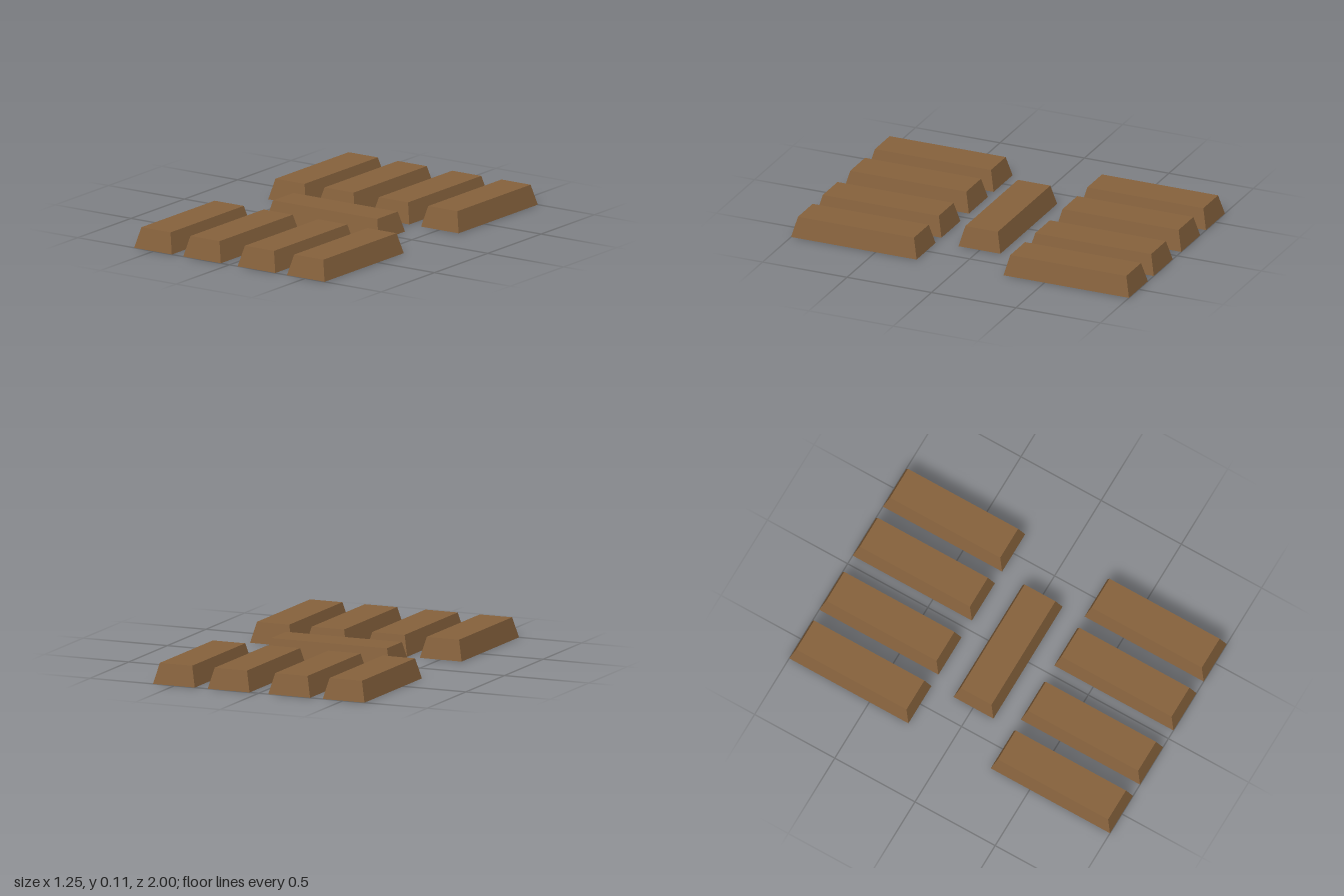
import * as THREE from 'three';

const LENGTH = 0.743, WIDTH = 0.248, HEIGHT = 0.113;
const INSET = 0.028; // how far the top edges step in from the base

// Bar with sloping sides: a box whose upper corners are pulled inward
function createIngotGeometry() {
  const box = new THREE.BoxGeometry(WIDTH, HEIGHT, LENGTH);
  box.translate(0, HEIGHT / 2, 0);
  const p = box.attributes.position;
  for (let i = 0; i < p.count; i++) {
    if (p.getY(i) > HEIGHT / 2) {
      p.setX(i, p.getX(i) - Math.sign(p.getX(i)) * INSET);
      p.setZ(i, p.getZ(i) - Math.sign(p.getZ(i)) * INSET);
    }
  }
  box.computeVertexNormals();
  return box;
}

export function createModel() {
  const group = new THREE.Group();
  group.name = 'ingots';
  const bronze = new THREE.MeshStandardMaterial({ color: 0x85613c });
  bronze.name = 'bronze';
  const geometry = createIngotGeometry();

  const addIngot = (name, x, z, turn = 0) => {
    const ingot = new THREE.Mesh(geometry, bronze);
    ingot.name = name;
    ingot.position.set(x, 0, z);
    ingot.rotation.y = turn;
    group.add(ingot);
  };

  // Two rows of four, front and back
  const columns = [-0.504, -0.181, 0.178, 0.503];
  for (const [row, z] of [['front', 0.6285], ['back', -0.6285]]) {
    columns.forEach((x, i) => addIngot(`${row}Ingot${i + 1}`, x, z));
  }

  // One bar lying crosswise between the rows
  addIngot('middleIngot', -0.003, 0.002, Math.PI / 2);

  return group;
}
